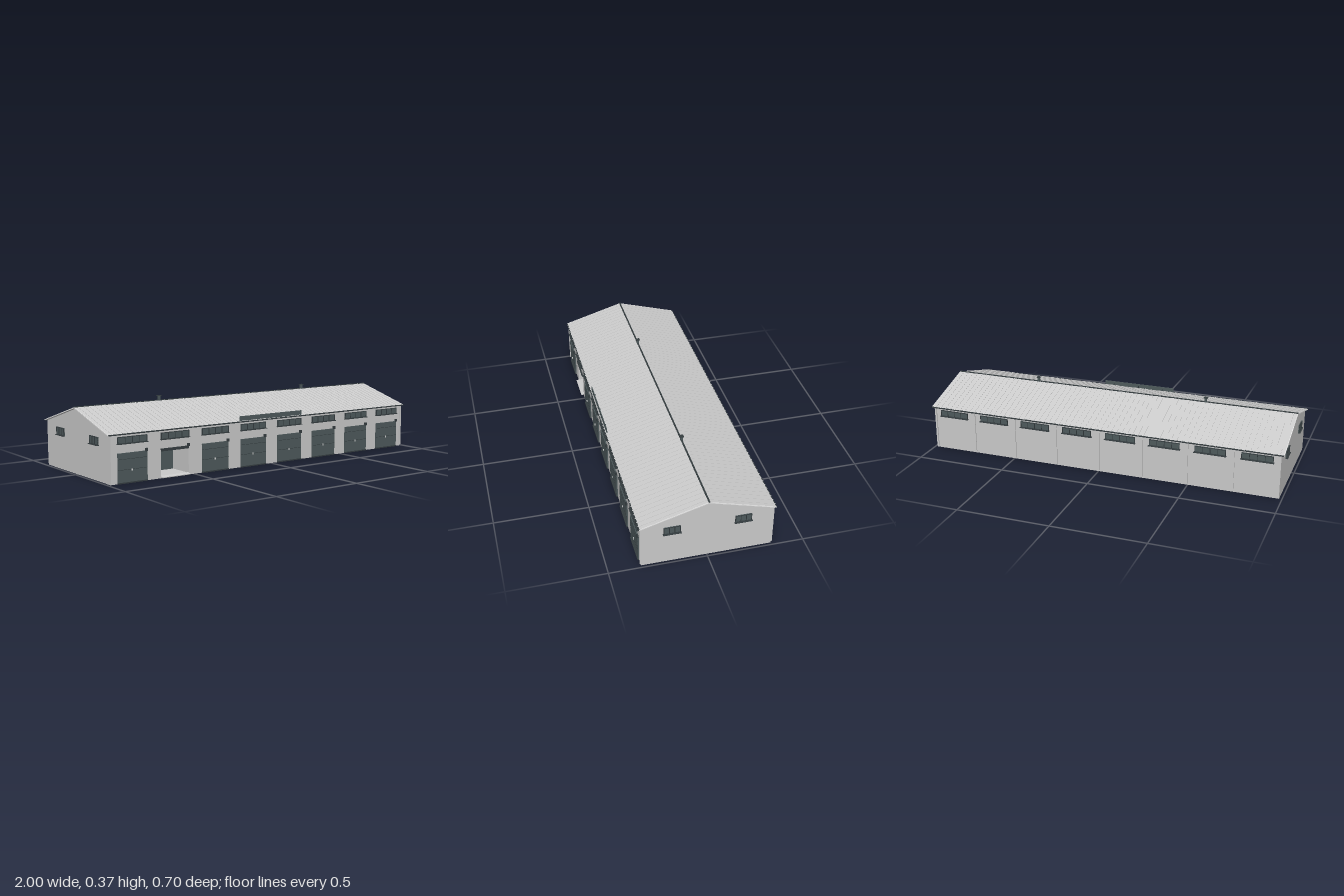
import * as THREE from 'three';

const mat = (name, color) => {
  const m = new THREE.MeshStandardMaterial({ color });
  m.name = name;
  return m;
};

export function createModel() {
  const wallGrey = mat('wall grey', 0xcacaca);
  const roofGrey = mat('roof grey', 0xcccccc);
  const trimWhite = mat('trim white', 0xf2f2f2);
  const slate = mat('slate', 0x4e5a5c);
  const darkSlate = mat('dark slate', 0x353d40);
  const handleGrey = mat('handle grey', 0xd8d8d8);

  const model = new THREE.Group();
  model.name = 'garageBlock';

  const group = (name, x = 0, y = 0, z = 0, parent = model) => {
    const g = new THREE.Group();
    g.name = name;
    g.position.set(x, y, z);
    parent.add(g);
    return g;
  };
  const box = (name, m, w, h, d, x, y, z, parent = model) => {
    const b = new THREE.Mesh(new THREE.BoxGeometry(w, h, d), m);
    b.name = name;
    b.position.set(x, y, z);
    parent.add(b);
    return b;
  };

  const HX = 0.985, HZ = 0.334, EAVE = 0.242, RIDGE = 0.345;
  const BAY = 0.2465, DOOR_W = 0.166, DOOR_H = 0.15, OPEN_BAY = 1;
  const bayX = i => (i - 3.5) * BAY;
  const openX = bayX(OPEN_BAY);

  // Shell: floor, back wall, front wall with one doorway, gable ends
  box('floor', wallGrey, HX * 2, 0.006, HZ * 2, 0, 0.003, 0);
  box('backWall', wallGrey, HX * 2, EAVE, 0.01, 0, EAVE / 2, -HZ + 0.005);

  const l = openX - DOOR_W / 2, r = openX + DOOR_W / 2;
  const front = new THREE.Shape([
    [-HX, 0], [l, 0], [l, DOOR_H], [r, DOOR_H], [r, 0], [HX, 0], [HX, EAVE], [-HX, EAVE],
  ].map(p => new THREE.Vector2(...p)));
  const frontWall = new THREE.Mesh(
    new THREE.ExtrudeGeometry(front, { depth: 0.01, bevelEnabled: false }), wallGrey);
  frontWall.name = 'frontWall';
  frontWall.position.z = HZ - 0.01;
  model.add(frontWall);

  const gable = new THREE.Shape([
    [-HZ, 0], [HZ, 0], [HZ, EAVE], [0, 0.339], [-HZ, EAVE],
  ].map(p => new THREE.Vector2(...p)));
  const gableGeo = new THREE.ExtrudeGeometry(gable, { depth: 0.01, bevelEnabled: false });
  gableGeo.translate(0, 0, -0.005).rotateY(-Math.PI / 2);
  for (const s of [-1, 1]) {
    const end = new THREE.Mesh(gableGeo, wallGrey);
    end.name = 'gableWall';
    end.position.x = s * (HX - 0.005);
    model.add(end);
  }

  // Room behind the open doorway
  const room = group('openBay', openX, 0, 0);
  box('roomBack', slate, DOOR_W + 0.04, 0.16, 0.006, 0, 0.083, HZ - 0.16, room);
  for (const s of [-1, 1])
    box('roomSide', wallGrey, 0.006, 0.16, 0.15, s * (DOOR_W / 2 + 0.01), 0.083, HZ - 0.085, room);
  box('raisedDoor', slate, DOOR_W, 0.006, 0.14, 0, 0.138, HZ - 0.07, room);
  box('raisedDoorEdge', darkSlate, DOOR_W, 0.014, 0.008, 0, 0.143, HZ + 0.001, room);
  const ramp = box('ramp', wallGrey, DOOR_W, 0.004, 0.022, 0, 0.007, HZ + 0.005, room);
  ramp.rotation.x = 0.25;

  // Strip window with panes, frame and sill, facing +z
  const addWindow = (x, y, z, w, h, turn, panes, sillDepth) => {
    const g = group('window', x, y, z);
    g.rotation.y = turn;
    box('glass', slate, w, h, 0.004, 0, 0, 0.002, g);
    for (const s of [-1, 1])
      box('frameRail', darkSlate, w, 0.003, 0.007, 0, s * (h / 2 - 0.0015), 0.0035, g);
    for (let i = 0; i <= panes; i++)
      box('frameBar', darkSlate, 0.003, h, 0.007, (i / panes - 0.5) * (w - 0.003), 0, 0.0035, g);
    box('sill', darkSlate, w + 0.008, 0.003, sillDepth, 0, -h / 2 - 0.001, sillDepth / 2, g);
  };

  for (let i = 0; i < 8; i++) {
    const x = bayX(i);
    addWindow(x, 0.213, HZ, DOOR_W, 0.034, 0, 4, 0.012);
    addWindow(x, 0.213, -HZ, DOOR_W, 0.034, Math.PI, 4, 0.014);

    // Sectional door with a handle
    if (i !== OPEN_BAY) {
      const door = group('garageDoor', x, 0, HZ);
      box('doorPanel', slate, DOOR_W, DOOR_H - 0.004, 0.006, 0, DOOR_H / 2 + 0.002, 0.003, door);
      for (const y of [0.068, 0.12])
        box('panelSeam', darkSlate, DOOR_W, 0.002, 0.001, 0, y, 0.0063, door);
      box('handle', handleGrey, 0.005, 0.01, 0.004, -0.005, 0.066, 0.008, door);
      box('bottomSeal', darkSlate, DOOR_W, 0.006, 0.009, 0, 0.003, 0.0045, door);
    }
    box('doorLamp', darkSlate, 0.014, 0.016, 0.008, x + 0.078, 0.155, HZ + 0.006);
  }
  for (const s of [-1, 1])
    for (const z of [-0.181, 0.179])
      addWindow(s * HX, 0.2, z, 0.084, 0.04, s * Math.PI / 2, 3, 0.013);

  // Ribs between the rear bays, and corner posts
  for (let i = 0; i < 7; i++)
    box('rearRib', wallGrey, 0.012, 0.235, 0.006, (i - 3) * BAY, 0.1255, -HZ - 0.003);
  for (const sx of [-1, 1])
    for (const sz of [-1, 1])
      box('cornerPost', wallGrey, 0.01, 0.235, 0.006, sx * (HX - 0.005), 0.1255, sz * (HZ + 0.003));

  // Ribbed roof slopes with white verges and dark gutters
  const pitch = Math.atan2(0.1, 0.345), len = Math.hypot(0.1, 0.345);
  const ribGeo = new THREE.BoxGeometry(0.006, 0.002, len);
  for (const s of [0, 1]) {
    const side = group('roofSide', 0, 0, 0);
    side.rotation.y = s * Math.PI;
    const slope = group('roofSlope', 0, RIDGE, 0, side);
    slope.rotation.x = pitch;
    box('roofSheet', roofGrey, 1.996, 0.005, len, 0, -0.0025, len / 2, slope);
    const ribs = new THREE.InstancedMesh(ribGeo, roofGrey, 0);
    ribs.name = 'unused';
    for (let i = 0; i < 66; i++) {
      const rib = new THREE.Mesh(ribGeo, roofGrey);
      rib.name = 'roofRib';
      rib.position.set((i - 32.5) * 0.03, 0.0005, len / 2);
      slope.add(rib);
    }
    for (const e of [-1, 1])
      box('verge', trimWhite, 0.003, 0.005, len, e * 0.9985, -0.0025, len / 2, slope);
    box('gutter', darkSlate, 1.996, 0.006, 0.008, 0, 0.243, 0.342, side);
  }
  box('ridgeCap', darkSlate, 2, 0.004, 0.008, 0, 0.346, 0);

  // Roof vents
  for (const x of [-0.497, 0.492]) {
    box('ventPipe', slate, 0.012, 0.028, 0.012, x, 0.354, 0);
    box('ventCap', darkSlate, 0.022, 0.003, 0.022, x, 0.3695, 0);
  }

  // Blank signboard above the front eave
  box('signboard', slate, 0.424, 0.026, 0.004, -0.002, 0.259, 0.336);
  for (const x of [-0.15, 0, 0.15])
    box('signBracket', darkSlate, 0.004, 0.02, 0.006, x, 0.252, 0.332);

  return model;
}
